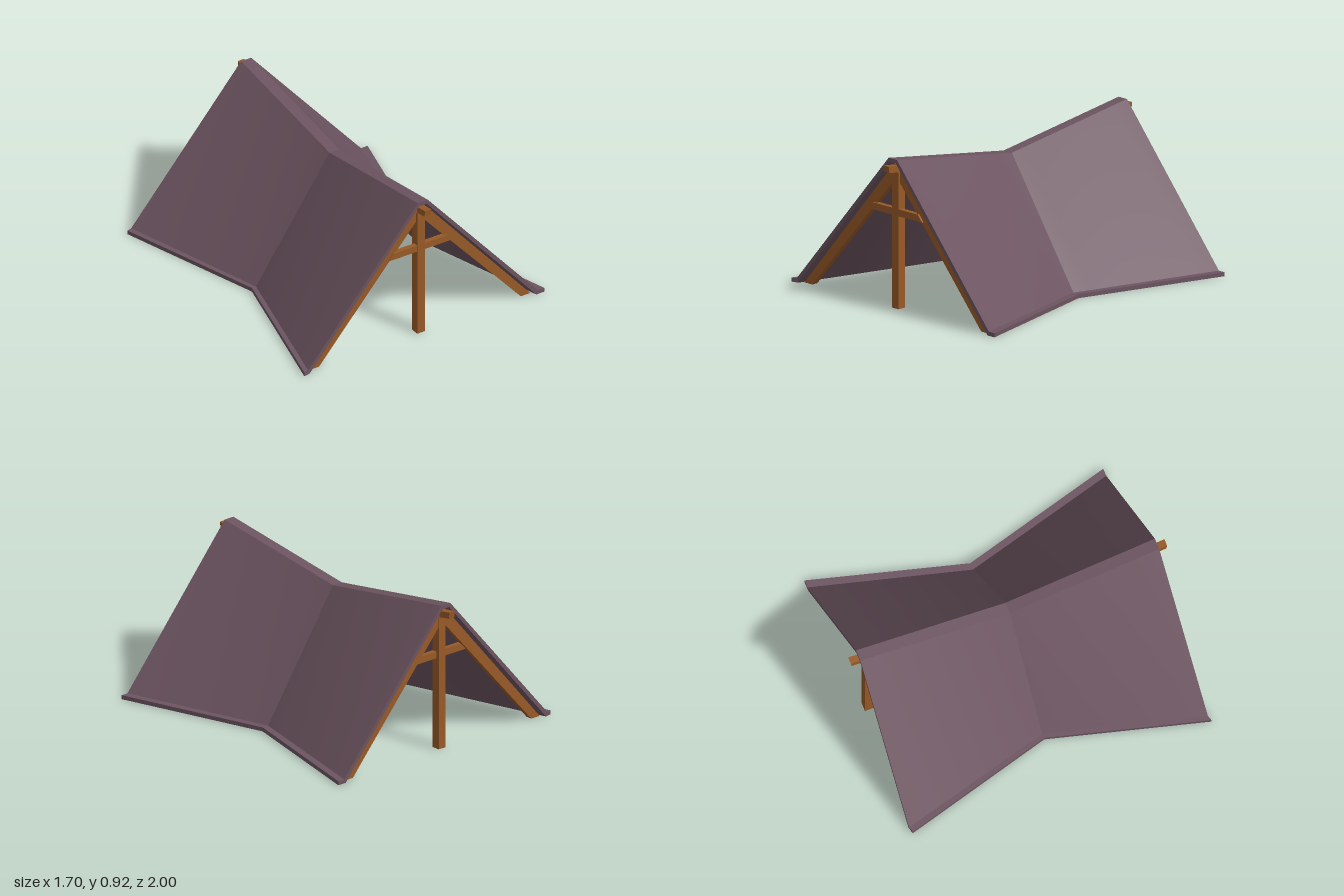
import * as THREE from 'three';

const CX = -0.007;      // frame centre line
const END = 0.945;      // half length of the cloth
const STEPS = 8;        // lengthwise divisions of each half panel

const canvasMat = new THREE.MeshStandardMaterial({ color: 0x6c5460 });
canvasMat.name = 'canvas';
const woodMat = new THREE.MeshStandardMaterial({ color: 0x985a27 });
woodMat.name = 'wood';

// Closed cloth outline, counter-clockwise from the +x hem over the ridge and back inside
function clothSection({ hem, fold, ridge, foot, z, skew }) {
  const outer = [[hem, 0], [hem, 0.025], [fold + CX, 0.025], [0.035 + CX, ridge],
    [-0.035 + CX, ridge], [-fold + CX, 0.025], [-hem, 0.025], [-hem, 0]];
  const inner = [[-foot + CX, 0], [-0.026 + CX, ridge - 0.024], [0.026 + CX, ridge - 0.024], [foot + CX, 0]];
  // the right hem sits slightly forward
  return [...outer, ...inner].map(([x, y]) => new THREE.Vector3(x, y, x === -hem ? z + skew : z));
}

// Loft the outline from the back end through the pinched middle to the front end
function clothGeometry() {
  const wide = { hem: 0.848, fold: 0.808, ridge: 0.917, foot: 0.797, skew: 0.01 };
  const back = clothSection({ ...wide, z: -END });
  const waist = clothSection({ hem: 0.588, fold: 0.552, ridge: 0.775, foot: 0.537, z: 0, skew: 0 });
  const front = clothSection({ ...wide, z: END });
  const pos = [];
  const index = [];
  const add = (v) => pos.push(v.x, v.y, v.z) / 3 - 1;

  // each panel is a ruled strip with its own vertices, so edges stay sharp
  for (const [p, q] of [[back, waist], [waist, front]]) {
    for (let i = 0; i < p.length; i++) {
      const j = (i + 1) % p.length;
      for (let s = 0; s <= STEPS; s++) {
        const a = add(p[i].clone().lerp(q[i], s / STEPS));
        const b = add(p[j].clone().lerp(q[j], s / STEPS));
        if (s > 0) index.push(a - 2, b - 2, b, a - 2, b, a);
      }
    }
  }
  // end caps
  const contour = front.map((v) => new THREE.Vector2(v.x, v.y));
  for (const [a, b, c] of THREE.ShapeUtils.triangulateShape(contour, [])) {
    index.push(add(front[a]), add(front[b]), add(front[c]));
    index.push(add(back[c]), add(back[b]), add(back[a]));
  }
  const g = new THREE.BufferGeometry();
  g.setAttribute('position', new THREE.Float32BufferAttribute(pos, 3));
  g.setIndex(index);
  g.computeVertexNormals();
  return g;
}

// Flat timber cut from an outline, centred on its own depth
function plank(name, points, depth) {
  const shape = new THREE.Shape(points.map(([x, y]) => new THREE.Vector2(x, y)));
  const g = new THREE.ExtrudeGeometry(shape, { depth, bevelEnabled: false });
  g.translate(0, 0, -depth / 2);
  const m = new THREE.Mesh(g, woodMat);
  m.name = name;
  return m;
}

// One end frame: two rafters, a tie bar and a centre post
function endFrame(name) {
  const frame = new THREE.Group();
  frame.name = name;
  for (const s of [1, -1]) {
    frame.add(plank(s > 0 ? 'leftRafter' : 'rightRafter',
      [[0.777, 0], [0.025, 0.875], [0, 0.875], [0, 0.8], [0.71, 0]].map(([x, y]) => [s * x, y]), 0.04));
  }
  const tie = plank('tieBar', [[-0.225, 0.568], [0.225, 0.568], [0.19, 0.61], [-0.19, 0.61]], 0.032);
  tie.position.z = 0.016;
  frame.add(tie);
  const post = new THREE.Mesh(new THREE.BoxGeometry(0.054, 0.835, 0.054), woodMat);
  post.name = 'post';
  post.position.set(0, 0.4175, 0.006);
  frame.add(post);
  return frame;
}

export function createModel() {
  const tent = new THREE.Group();
  tent.name = 'tent';

  const cloth = new THREE.Mesh(clothGeometry(), canvasMat);
  cloth.name = 'cloth';
  tent.add(cloth);

  for (const s of [1, -1]) {
    const frame = endFrame(s > 0 ? 'frontFrame' : 'backFrame');
    frame.position.set(CX, 0, s * 0.892);
    tent.add(frame);
  }

  // ridge pole, sagging to the middle
  const pole = plank('ridgePole', [[0, 0.695], [0.995, 0.845], [1, 0.885],
    [0, 0.735], [-1, 0.885], [-0.995, 0.845]], 0.044);
  pole.rotation.y = -Math.PI / 2;
  pole.position.x = CX;
  tent.add(pole);

  return tent;
}
